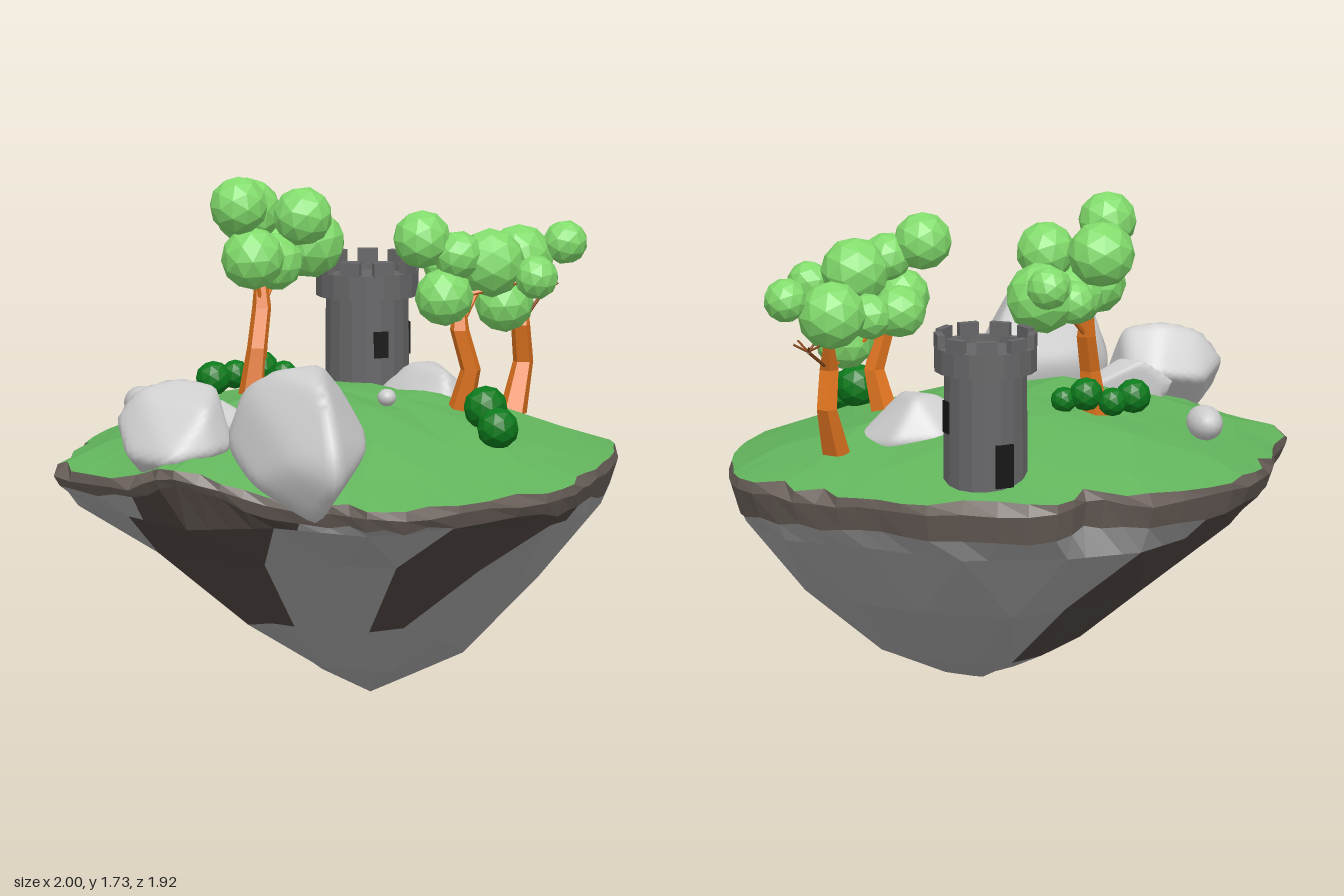
import * as THREE from 'three';
import { mergeVertices } from 'three/addons/utils/BufferGeometryUtils.js';
import { ConvexGeometry } from 'three/addons/geometries/ConvexGeometry.js';

const V = (x, y, z) => new THREE.Vector3(x, y, z);
const mat = (color, flatShading = true) => new THREE.MeshStandardMaterial({ color, flatShading, roughness: 1 });
const M = {
  grass: mat(0x62b45c), soil: mat(0x6a605a), cliff: mat(0xa2a2a2), darkCliff: mat(0x4f4641),
  leaf: mat(0x82dc6c), bush: mat(0x0c7a1c), wood: mat(0xe0741f), twig: mat(0x8a4a1c),
  tower: mat(0x666668), opening: mat(0x161616), stone: mat(0xcccccc, false),
};

function seeded(s) {
  return () => {
    s = (s * 16807) % 2147483647;
    return s / 2147483647;
  };
}

function add(parent, name, geometry, material, p = [0, 0, 0]) {
  const mesh = new THREE.Mesh(geometry, material);
  mesh.name = name;
  mesh.position.set(...p);
  parent.add(mesh);
  return mesh;
}

// Skin between closed rings listed from top to bottom; keep() filters quads
function loft(rings, keep = () => true) {
  const pos = [];
  const tri = (...ps) => ps.forEach((p) => pos.push(p.x, p.y, p.z));
  for (let k = 0; k < rings.length - 1; k++) {
    const n = rings[k].length;
    for (let i = 0; i < n; i++) {
      if (!keep(k, i / n)) continue;
      const j = (i + 1) % n, [a, b, c, d] = [rings[k][i], rings[k][j], rings[k + 1][i], rings[k + 1][j]];
      tri(a, b, c);
      tri(b, d, c);
    }
  }
  const g = new THREE.BufferGeometry();
  g.setAttribute('position', new THREE.Float32BufferAttribute(pos, 3));
  g.computeVertexNormals();
  return g;
}

// Island rim: x, height, z
const rim = new THREE.CatmullRomCurve3([
  [1, .79, -.05], [.96, .79, .13], [.85, .79, .36], [.72, .78, .55], [.62, .77, .68], [.47, .76, .8],
  [.2, .76, .9], [-.05, .75, .96], [-.2, .75, .93], [-.3, .76, .8], [-.5, .78, .67], [-.66, .83, .6],
  [-.81, .87, .52], [-.86, .81, .35], [-.93, .8, .15], [-1, .8, -.07], [-.88, .79, -.25], [-.82, .79, -.4],
  [-.73, .79, -.55], [-.6, .8, -.73], [-.4, .81, -.86], [-.12, .82, -.96], [.04, .84, -.9], [.17, .82, -.96],
  [.38, .81, -.89], [.6, .8, -.73], [.72, .8, -.56], [.83, .79, -.42], [.94, .79, -.25],
].map((p) => V(...p)), true);

function island(root) {
  const rnd = seeded(41);
  const ring = (n, offset, fn) => Array.from({ length: n }, (_, i) => fn(rim.getPoint(((i + offset) / n) % 1)));
  const refine = (r) => r.flatMap((p, i) => [0, 1, 2, 3].map((s) => p.clone().lerp(r[(i + 1) % r.length], s / 4)));

  // Grassy dome: coarse staggered facets, then a finer edge
  const peak = V(0, 1.02, -.1);
  const dome = (f, j) => (p) => {
    const r = f + (rnd() - .5) * j;
    const q = peak.clone().lerp(p, r);
    q.y = p.y + (peak.y - p.y) * (1 - Math.pow(r, 1.8)) + (rnd() - .5) * j * .25;
    return q;
  };
  const coarse = [[0, 0], [.3, .1], [.58, .1], [.83, .06]].map(([f, j], k) => ring(16, k / 2, dome(f, j)));
  const edge = ring(64, 6, (p) => dome(.995 - Math.pow(rnd(), 4) * .05, 0)(p));
  add(root, 'grass', loft(coarse), M.grass);
  add(root, 'grassEdge', loft([refine(coarse[3]), edge]), M.grass);

  // Rounder toward the back and right, straighter at front left
  const tip = V(.08, 0, .1);
  const roundness = (p) => {
    const d = V(p.x - tip.x, 0, p.z - tip.z).normalize();
    return THREE.MathUtils.clamp(.5 + .5 * (d.x - d.z), 0, 1);
  };

  // Ragged soil band
  const lip = ring(64, 6, (p) => V(p.x, p.y - .02 - rnd() * .015, p.z));
  const hem = ring(64, 6, (p) => {
    const drop = .05 + rnd() * .03 + roundness(p) * .06, s = .99 - drop * .18;
    return V(p.x * s, p.y - drop, p.z * s);
  });
  add(root, 'soilRim', loft([edge, lip, hem]), M.soil);

  // Rock underside, continuing from the soil band down to the tip
  const rows = [[.93, .61, .665], [.71, .365, .52], [.38, .125, .26], [.17, .045, .1], [0, 0, 0]];
  const under = rows.map(([f, round, straight], k) => ring(16, 1.5 + k / 2, (p) => {
    const r = f * (1 + (k ? (rnd() - .5) * .05 : 0));
    const y = THREE.MathUtils.lerp(straight, round, roundness(p)) + (f ? (rnd() - .5) * .02 : 0);
    return V(tip.x + (p.x - tip.x) * r, y, tip.z + (p.z - tip.z) * r);
  }));
  const dark = (k, t) => k < 2 && ((t > .02 && t < .11) || (t > .23 && t < .35) || (t > .48 && t < .58));
  add(root, 'underside', loft(under, (k, t) => !dark(k, t)), M.cliff);
  add(root, 'darkCliffFaces', loft(under, dark), M.darkCliff);
  const collar = [hem, refine(under[0])];
  add(root, 'undersideCollar', loft(collar, (k, t) => !dark(k, t)), M.cliff);
  add(root, 'darkCollarFaces', loft(collar, dark), M.darkCliff);
}

// Boulder: a ball shrunk onto the softened planes of a hull around corner points
function boulder(root, name, corners) {
  const pts = corners.map((p) => V(...p));
  const center = pts.reduce((s, p) => s.add(p), V(0, 0, 0)).divideScalar(pts.length);
  const hull = new ConvexGeometry(corners.map((p) => V(...p).sub(center))).attributes.position;
  const planes = [];
  for (let i = 0; i < hull.count; i += 3) {
    const [a, b, c] = [0, 1, 2].map((k) => V(0, 0, 0).fromBufferAttribute(hull, i + k));
    planes.push(new THREE.Plane().setFromCoplanarPoints(a, b, c));
  }
  let g = new THREE.IcosahedronGeometry(1, 9);
  g.deleteAttribute('uv');
  g.deleteAttribute('normal');
  g = mergeVertices(g);
  const pos = g.attributes.position, v = V(0, 0, 0);
  for (let i = 0; i < pos.count; i++) {
    v.fromBufferAttribute(pos, i).normalize();
    const s = planes.reduce((t, p) => t + Math.pow(Math.max(0, p.normal.dot(v)) / -p.constant, 22), 0);
    v.multiplyScalar(1.07 * Math.pow(s, -1 / 22));
    pos.setXYZ(i, v.x, v.y, v.z);
  }
  g.computeVertexNormals();
  add(root, name, g, M.stone, center.toArray());
}

function tree(root, name, trunk, leaves, twigs = []) {
  const group = new THREE.Group();
  group.name = name;
  root.add(group);
  const pts = trunk.map((p) => V(...p));
  const rings = pts.map((p, k) => Array.from({ length: 5 }, (_, i) => {
    const a = i / 5 * Math.PI * 2, r = [.05, .036, .034, .016][k];
    return V(p.x + Math.cos(a) * r, p.y, p.z + Math.sin(a) * r);
  }));
  add(group, 'trunk', loft(rings.reverse()), M.wood);
  const branch = (from, to, r, material) =>
    add(group, 'branch', new THREE.TubeGeometry(new THREE.LineCurve3(from, to), 1, r, 5), material);
  leaves.forEach(([x, y, z, r], i) => {
    const ball = add(group, 'foliage', new THREE.IcosahedronGeometry(r, 1), M.leaf, [x, y, z]);
    ball.rotation.set(i, i * 2, 0);
    branch(pts[i % 2 ? 2 : 3], V(x, y, z), .008, M.wood);
  });
  // Bare twigs fanning from one point
  twigs.forEach((p) => {
    const o = V(...p);
    branch(pts[2], o, .006, M.twig);
    for (let i = 0; i < 5; i++) {
      const a = i * 1.257;
      branch(o, V(o.x + Math.cos(a) * .055, o.y + .03, o.z + Math.sin(a) * .055), .004, M.twig);
    }
  });
}

function tower(root) {
  const group = new THREE.Group();
  group.name = 'tower';
  group.position.set(.33, 0, -.645);
  root.add(group);
  const profile = [[.145, .8], [.142, 1.235], [.176, 1.24], [.176, 1.325], [.15, 1.325], [.15, 1.3], [0, 1.3]];
  add(group, 'towerWall', new THREE.LatheGeometry(profile.map((p) => new THREE.Vector2(...p)), 18), M.tower);
  for (let i = 0; i < 9; i++) {
    const a = i / 9 * Math.PI * 2;
    const merlon = add(group, 'merlon', new THREE.BoxGeometry(.07, .05, .026), M.tower,
      [Math.sin(a) * .16, 1.345, Math.cos(a) * .16]);
    merlon.rotation.y = a;
  }
  // Windows and door: angle, height of centre, width, height
  [[Math.PI / 2, 1.085, .05, .11], [0, 1.085, .05, .09], [Math.PI * 1.03, .93, .065, .15]].forEach(([a, y, w, h], i) => {
    const hole = add(group, i < 2 ? 'window' : 'door', new THREE.BoxGeometry(w, h, .02), M.opening,
      [Math.sin(a) * .137, y, Math.cos(a) * .137]);
    hole.rotation.y = a;
  });
}

export function createModel() {
  const root = new THREE.Group();
  root.name = 'floatingIsland';
  island(root);
  tower(root);

  // Boulders
  boulder(root, 'frontBoulder', [
    [-.33, .84, .93], [-.33, .95, .92], [-.35, .7, .78], [-.53, .83, .65], [-.57, .95, .5], [-.53, 1.14, .55],
    [-.45, 1.2, .6], [-.27, 1.21, .6], [-.33, 1.16, .8], [-.18, 1.13, .48], [-.1, .97, .56], [-.16, .93, .74],
    [-.17, .98, .39], [-.45, 1, .41], [-.26, .73, .6], [-.45, .8, .45], [-.2, .8, .45], [-.43, .92, .83]]);
  boulder(root, 'sideBoulder', [
    [-.87, .9, .3], [-.86, 1, .2], [-.8, 1.1, .22], [-.67, 1.135, .25], [-.55, 1.11, .3], [-.53, .97, .2],
    [-.77, .95, .13], [-.6, .98, .14], [-.53, .92, .42], [-.62, .9, .47], [-.77, .88, .46], [-.8, .82, .3],
    [-.6, .85, .3], [-.62, 1.05, .42]]);
  boulder(root, 'flatStone', [
    [-.63, .97, .06], [-.36, .95, .15], [-.36, .96, .21], [-.6, .95, .25], [-.54, 1.04, .09], [-.48, 1.04, .17],
    [-.55, .84, .09], [-.45, .84, .19]]);
  boulder(root, 'groveStone', [
    [.21, .92, -.31], [.36, .93, -.35], [.53, .92, -.28], [.6, .89, -.1], [.4, .9, .02], [.28, .91, -.09],
    [.33, 1.06, -.23], [.41, 1.05, -.08], [.43, 1.06, -.24], [.26, .83, -.27], [.52, .8, -.2], [.4, .82, -.03]]);
  [['backStone', [-.55, .94, -.44], [.058, .06, .088]], ['pebble', [.12, 1.015, .155], [.032, .03, .035]]]
    .forEach(([name, p, s]) => add(root, name, new THREE.IcosahedronGeometry(1, 2), M.stone, p).scale.set(...s));

  // Trees: trunk path upward, then foliage balls as x, y, z, radius
  tree(root, 'backTree', [[-.2, .95, -.32], [-.175, 1.13, -.33], [-.145, 1.26, -.37], [-.14, 1.4, -.4]], [
    [-.265, 1.63, -.265, .1], [-.19, 1.435, -.335, .108], [0, 1.565, -.365, .102], [-.15, 1.57, -.5, .115],
    [.085, 1.445, -.54, .122], [.107, 1.505, -.66, .075], [-.02, 1.43, -.58, .075], [-.09, 1.41, -.4, .1]]);
  tree(root, 'frontTree', [[.4, .92, .09], [.43, 1.09, .13], [.39, 1.23, .13], [.4, 1.34, .11]], [
    [.28, 1.535, .06, .1], [.345, 1.34, .1, .1], [.395, 1.48, .1, .085], [.52, 1.445, .08, .118],
    [.655, 1.4, .16, .076]]);
  tree(root, 'rightTree', [[.69, .88, -.18], [.745, 1.05, -.23], [.725, 1.18, -.2], [.75, 1.3, -.26]], [
    [.755, 1.39, -.3, .118], [.65, 1.265, -.155, .1], [.905, 1.445, -.255, .076], [.5, 1.38, -.28, .092],
    [.61, 1.37, -.28, .08]], [[.645, 1.38, -.16], [.84, 1.27, -.3]]);

  // Bushes
  [[.415, .99, .325, .076], [.41, .94, .465, .072], [-.33, 1.03, -.34, .06], [-.23, 1.03, -.4, .05],
    [-.15, 1.055, -.36, .058], [-.08, 1.035, -.33, .045]].forEach(([x, y, z, r]) =>
    add(root, 'bush', new THREE.IcosahedronGeometry(r, 1), M.bush, [x, y, z]));
  return root;
}
